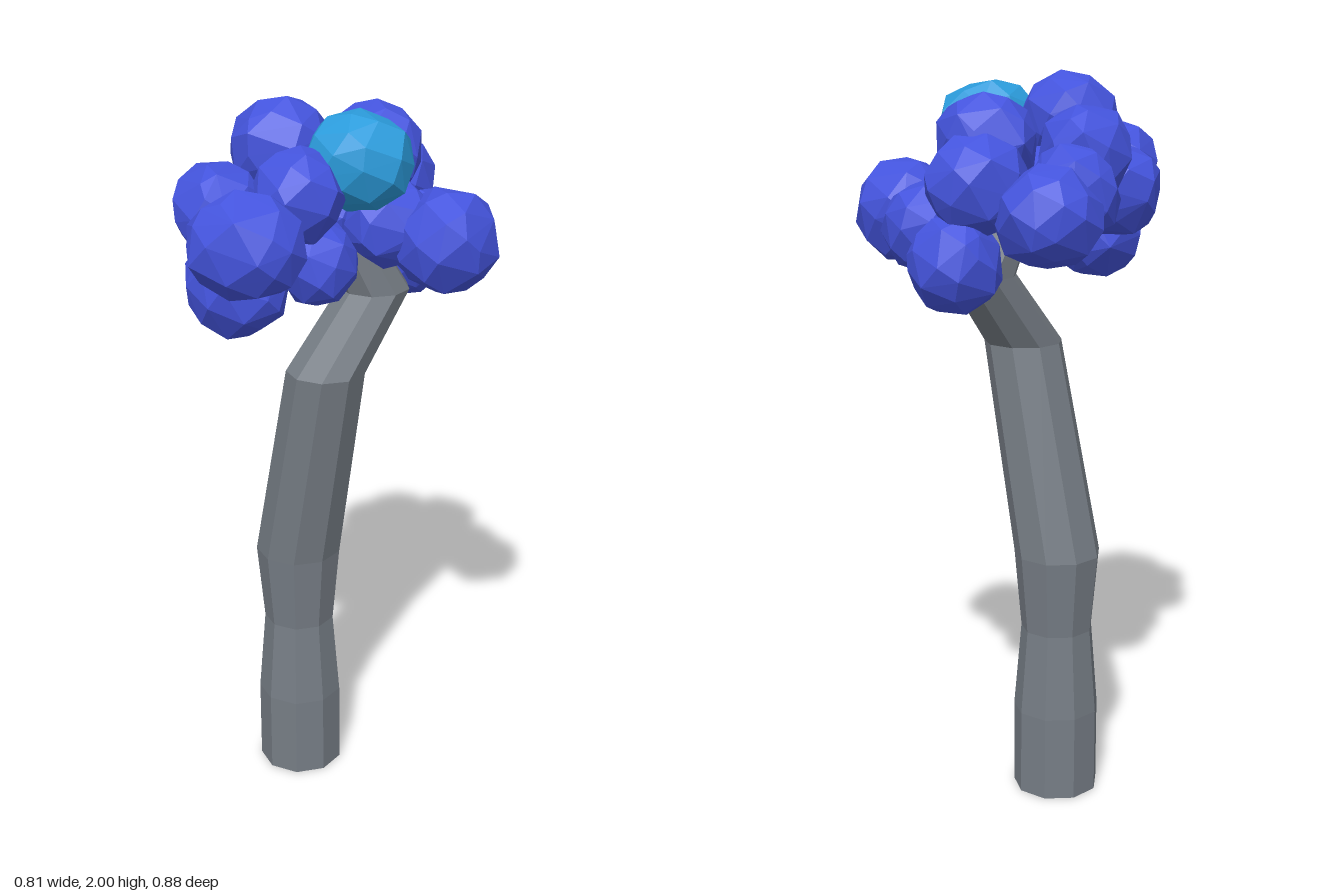
import * as THREE from 'three';
import { ConvexGeometry } from 'three/addons/geometries/ConvexGeometry.js';

const SIDES = 9;

// Trunk rings: [x, y, z, radius]
const RINGS = [
  [-0.125, 0, -0.05, 0.12], [-0.125, 0.24, -0.05, 0.12], [-0.125, 0.48, -0.05, 0.1],
  [-0.125, 0.7, -0.05, 0.12], [-0.035, 1.28, 0.04, 0.107], [0.085, 1.48, -0.07, 0.095],
  [0.02, 1.62, -0.04, 0.08],
];

// Leaf clumps: [x, y, z, rx, ry, rz]
const CLUMPS = [
  [-0.07, 1.66, -0.31, 0.14, 0.13, 0.135],
  [0.155, 1.535, -0.24, 0.125, 0.13, 0.13],
  [-0.14, 1.71, -0.22, 0.125, 0.13, 0.125],
  [0.1, 1.73, -0.23, 0.135, 0.13, 0.13],
  [0.075, 1.83, -0.145, 0.135, 0.13, 0.12],
  [-0.18, 1.8, -0.13, 0.12, 0.13, 0.125],
  [-0.155, 1.87, 0.01, 0.135, 0.13, 0.12],
  [-0.28, 1.69, 0.01, 0.12, 0.125, 0.12],
  [-0.29, 1.74, 0.15, 0.12, 0.125, 0.125],
  [-0.195, 1.7, 0.32, 0.155, 0.135, 0.125],
  [-0.09, 1.78, 0.15, 0.12, 0.125, 0.12],
  [-0.24, 1.56, 0.2, 0.14, 0.135, 0.13],
  [-0.05, 1.6, 0.11, 0.11, 0.115, 0.12],
  [0.275, 1.64, 0.03, 0.135, 0.14, 0.148],
  [0.225, 1.61, -0.11, 0.12, 0.125, 0.12],
  [0.12, 1.68, 0.0, 0.125, 0.12, 0.12],
  [-0.06, 1.69, -0.06, 0.14, 0.13, 0.14],
];

function seeded(seed) {
  let s = seed * 7919 + 17;
  return () => (s = (s * 16807) % 2147483647) / 2147483647;
}

// Faceted clump: convex hull of a jittered spiral of points on an ellipsoid
function clump([x, y, z, rx, ry, rz], seed, material, name) {
  const random = seeded(seed);
  const points = [];
  const count = 38;
  for (let i = 0; i < count; i++) {
    const h = 1 - (2 * (i + 0.5)) / count;
    const a = i * 2.39996 + seed + (random() - 0.5) * 0.5;
    const ring = Math.sqrt(1 - h * h);
    const k = 0.95 + random() * 0.1;
    points.push(new THREE.Vector3(Math.cos(a) * ring * rx * k, h * ry * k, Math.sin(a) * ring * rz * k));
  }
  const mesh = new THREE.Mesh(new ConvexGeometry(points), material);
  mesh.position.set(x, y, z);
  mesh.name = name;
  return mesh;
}

// Bent trunk lofted through horizontal rings, capped at both ends
function trunkGeometry() {
  const pos = [];
  const index = [];
  for (const [x, y, z, r] of RINGS) {
    for (let i = 0; i < SIDES; i++) {
      const a = (i / SIDES) * Math.PI * 2;
      pos.push(x + Math.sin(a) * r, y, z + Math.cos(a) * r);
    }
  }
  const last = RINGS.length - 1;
  for (let j = 0; j < last; j++) {
    for (let i = 0; i < SIDES; i++) {
      const a = j * SIDES + i;
      const b = j * SIDES + ((i + 1) % SIDES);
      index.push(a, b, b + SIDES, a, b + SIDES, a + SIDES);
    }
  }
  for (let i = 1; i < SIDES - 1; i++) {
    index.push(0, i + 1, i);
    index.push(last * SIDES, last * SIDES + i, last * SIDES + i + 1);
  }
  const geometry = new THREE.BufferGeometry();
  geometry.setAttribute('position', new THREE.Float32BufferAttribute(pos, 3));
  geometry.setIndex(index);
  const flat = geometry.toNonIndexed();
  flat.computeVertexNormals();
  return flat;
}

export function createModel() {
  const model = new THREE.Group();
  model.name = 'tree';
  const bark = new THREE.MeshStandardMaterial({ color: 0x767d85, flatShading: true });
  const leaf = new THREE.MeshStandardMaterial({ color: 0x4454dd, flatShading: true });
  const accent = new THREE.MeshStandardMaterial({ color: 0x2b9bdb, flatShading: true });

  const trunk = new THREE.Mesh(trunkGeometry(), bark);
  trunk.name = 'trunk';
  model.add(trunk);

  // Crown of clumps with one lighter clump near the top front
  const crown = new THREE.Group();
  crown.name = 'crown';
  CLUMPS.forEach((c, i) => crown.add(clump(c, i + 1, leaf, 'leafClump')));
  crown.add(clump([0.055, 1.85, 0.07, 0.14, 0.13, 0.118], 40, accent, 'lightLeafClump'));
  model.add(crown);
  return model;
}
